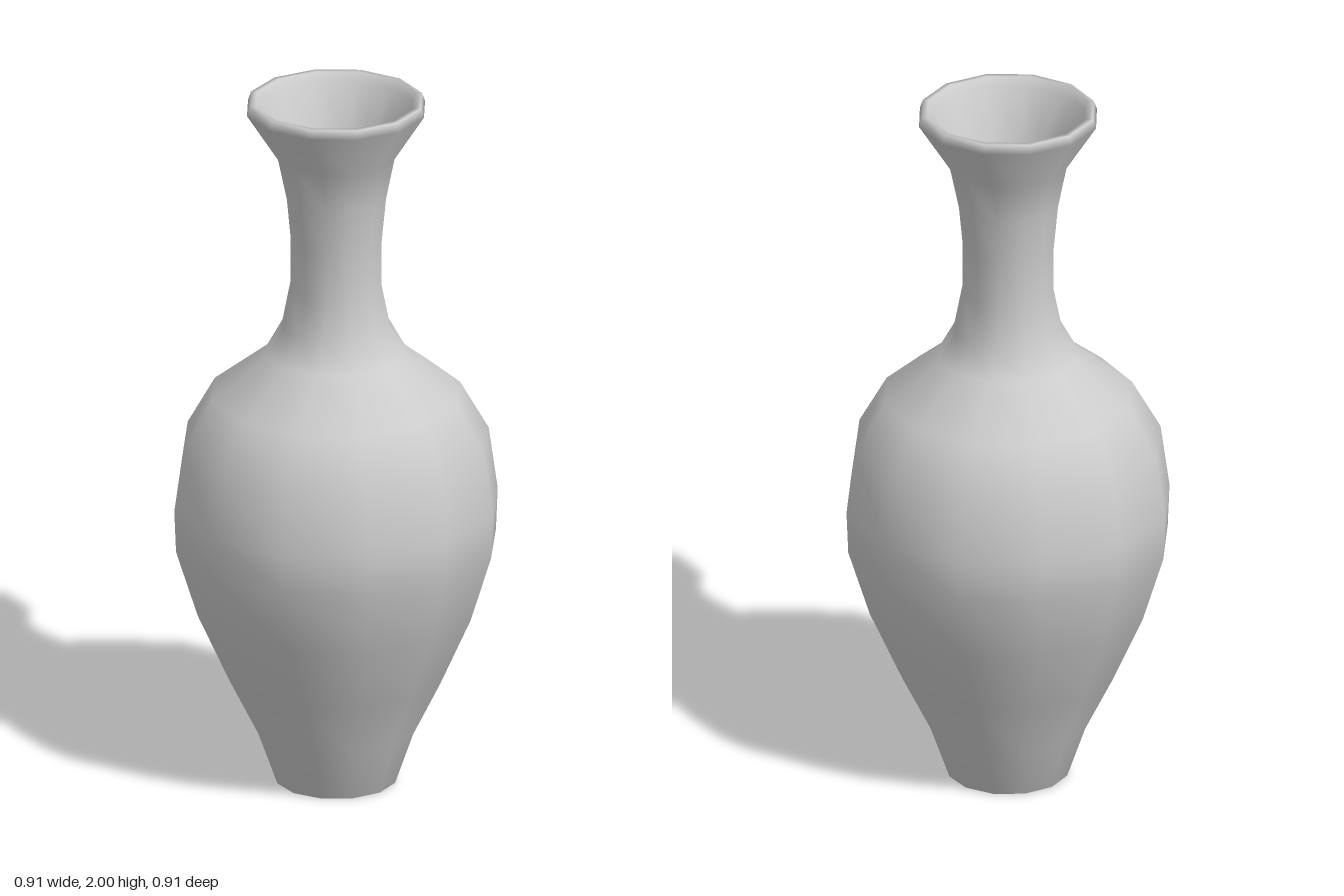
import * as THREE from 'three';

const SIDES = 12;
const TWIST = 0.02; // sideways offset of the profile from the turning axis

// Wall from the underside, up the outside, over the lip and down the inside: [radius, height]
const PROFILE = [
  [0, 0.03], [0.13, 0.03], [0.145, 0], [0.167, 0],
  [0.22, 0.15], [0.3, 0.31], [0.39, 0.51], [0.45, 0.7], [0.455, 0.82],
  [0.43, 1.0], [0.35, 1.14], [0.195, 1.26], [0.15, 1.34], [0.127, 1.455],
  [0.127, 1.59], [0.14, 1.72], [0.165, 1.84], [0.252, 1.975],
  [0.243, 2.0], [0.227, 2.0], [0.217, 1.975],
  [0.14, 1.85], [0.115, 1.72], [0.104, 1.59], [0.104, 1.455], [0.125, 1.34],
  [0.175, 1.24], [0.33, 1.12], [0.405, 0.99], [0.43, 0.82], [0.425, 0.7],
  [0.365, 0.51], [0.275, 0.31], [0.195, 0.15], [0.14, 0.06], [0, 0.06],
];

export function createModel() {
  const group = new THREE.Group();
  group.name = 'vase';

  const geometry = new THREE.LatheGeometry(
    PROFILE.map(([r, y]) => new THREE.Vector2(r, y)), SIDES);

  // Slide every ring sideways along its tangent, which turns narrow rings a little more
  const pos = geometry.attributes.position;
  for (let i = 0; i < pos.count; i++) {
    const x = pos.getX(i), z = pos.getZ(i), r = Math.hypot(x, z);
    if (r < 0.001) continue;
    pos.setX(i, x + (TWIST * z) / r);
    pos.setZ(i, z - (TWIST * x) / r);
  }

  const body = new THREE.Mesh(geometry, new THREE.MeshStandardMaterial({ color: 0xcccccc }));
  body.name = 'vaseBody';
  group.add(body);
  return group;
}
